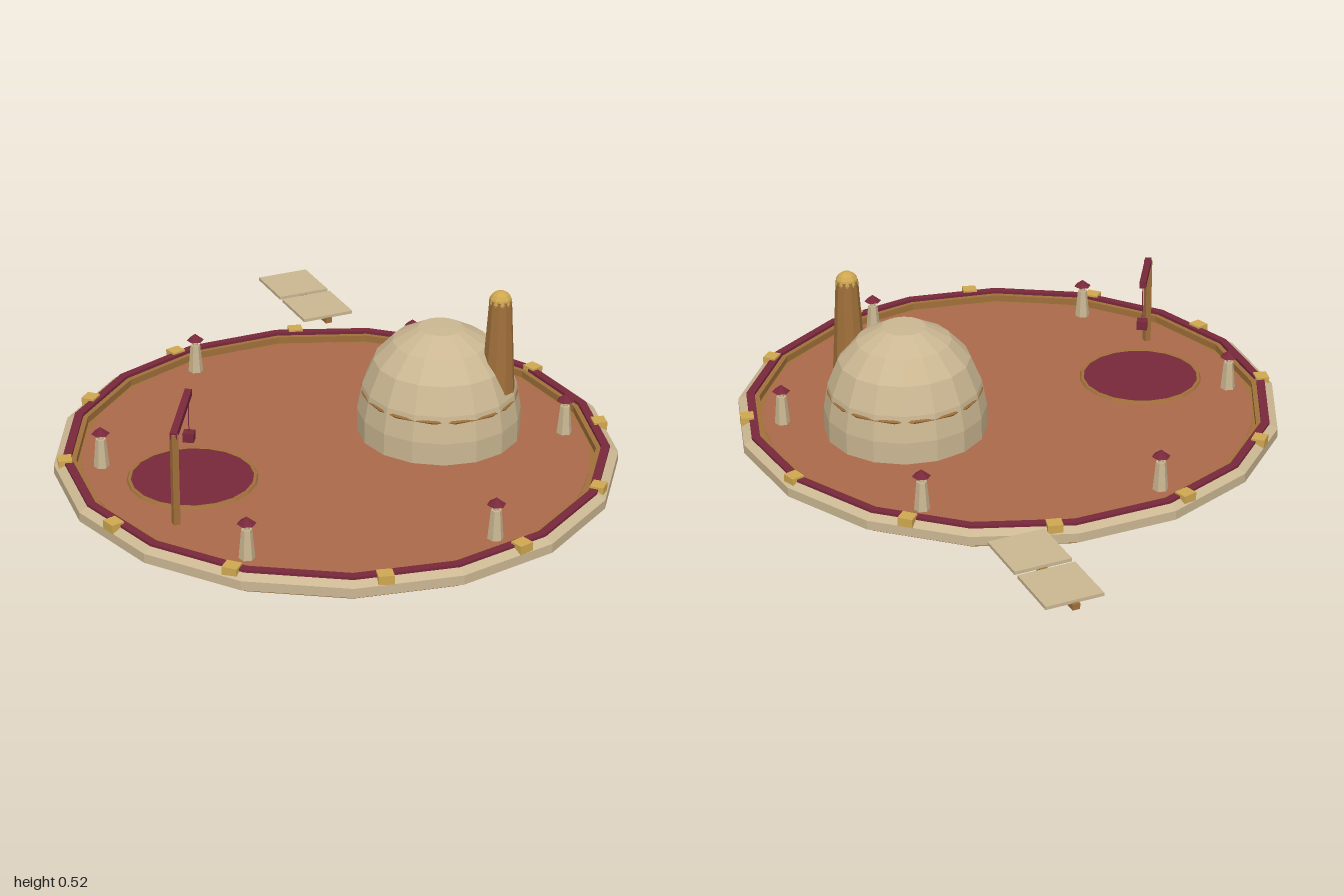
import * as THREE from 'three';

const flat = (name, color) => {
  const m = new THREE.MeshStandardMaterial({ color, flatShading: true });
  m.name = name;
  return m;
};

export function createModel() {
  const cream = flat('cream stone', 0xcbb792);
  const clay = flat('clay floor', 0xab694a);
  const maroon = flat('maroon', 0x78283b);
  const gold = flat('gold', 0xcfa750);
  const brown = flat('bronze brown', 0xa0703a);

  const root = new THREE.Group();
  root.name = 'landingPlatform';
  // everything on the deck is laid out around the deck centre
  const deck = new THREE.Group();
  deck.name = 'deck';
  deck.position.z = 0.175;
  root.add(deck);

  const add = (parent, name, geo, mat, x = 0, y = 0, z = 0) => {
    const m = new THREE.Mesh(geo, mat);
    m.name = name;
    m.position.set(x, y, z);
    parent.add(m);
    return m;
  };
  const lathe = (pts, sides) =>
    new THREE.LatheGeometry(pts.map(p => new THREE.Vector2(p[0], p[1])), sides);
  const cyl = (top, bottom, h, sides) => new THREE.CylinderGeometry(top, bottom, h, sides);
  const ring = (r, tube, sides) => new THREE.TorusGeometry(r, tube, 6, sides).rotateX(Math.PI / 2);
  // closed band with a rectangular section
  const band = (inner, outer, y0, y1, sides) =>
    lathe([[inner, y0], [outer, y0], [outer, y1], [inner, y1], [inner, y0]], sides);

  // Seventeen-sided base with a floor sunk below the rim
  const SIDES = 17;
  const FLOOR = 0.042;
  add(deck, 'underside', cyl(0.79, 0.787, 0.008, SIDES), brown, 0, 0.004);
  add(deck, 'rim', lathe([[0.788, 0.006], [0.822, 0.022], [0.822, 0.05], [0.792, 0.065]], SIDES), cream);
  add(deck, 'floorBorder', cyl(0.775, 0.775, 0.02, SIDES), brown, 0, FLOOR - 0.012);
  add(deck, 'floor', cyl(0.742, 0.742, 0.02, 32), clay, 0, FLOOR - 0.01);
  add(deck, 'innerWall', band(0.757, 0.774, 0.035, 0.061, SIDES), brown);
  add(deck, 'edgeRail', band(0.772, 0.797, 0.04, 0.07, SIDES), maroon);

  // Clamps around the rail
  for (let i = 0; i < 12; i++) {
    const a = (i + 0.5) * Math.PI / 6;
    const c = add(deck, 'railClamp', new THREE.BoxGeometry(0.044, 0.026, 0.04), gold,
      Math.sin(a) * 0.79, 0.063, Math.cos(a) * 0.79);
    c.rotation.y = a;
  }

  // Lamp posts
  for (let i = 0; i < 6; i++) {
    const a = Math.PI / 12 + i * Math.PI / 3;
    const lamp = new THREE.Group();
    lamp.name = 'lampPost';
    lamp.position.set(Math.sin(a) * 0.685, FLOOR, Math.cos(a) * 0.685);
    lamp.rotation.y = a;
    add(lamp, 'lampBody', cyl(0.015, 0.023, 0.088, 6), cream, 0, 0.044);
    add(lamp, 'lampNeck', cyl(0.009, 0.009, 0.022, 6), cream, 0, 0.097);
    add(lamp, 'lampCap', new THREE.ConeGeometry(0.027, 0.021, 6), maroon, 0, 0.115);
    deck.add(lamp);
  }

  // Dome with a thin band
  const dome = new THREE.Group();
  dome.name = 'domeHouse';
  dome.position.x = 0.335;
  deck.add(dome);
  add(dome, 'domeShell', lathe([[0.243, FLOOR - 0.005], [0.243, 0.11], [0.229, 0.19], [0.196, 0.27],
    [0.141, 0.33], [0.066, 0.372], [0, 0.373]], 16), cream);
  add(dome, 'domeBand', ring(0.2265, 0.006, 24), brown, 0, 0.172);

  // Tapered tower set into the dome's side
  add(dome, 'tower', cyl(0.033, 0.05, 0.285, 10), brown, 0.123, 0.3475, 0.132);
  add(dome, 'towerCap', new THREE.SphereGeometry(0.034, 10, 8), gold, 0.123, 0.483, 0.132);

  // Round pad
  add(deck, 'padBorder', ring(0.181, 0.008, 20), brown, -0.45, FLOOR);
  add(deck, 'pad', cyl(0.178, 0.178, 0.01, 20), maroon, -0.45, FLOOR);

  // Crane: post, sloping arm, cable and load
  const crane = new THREE.Group();
  crane.name = 'crane';
  root.add(crane);
  const foot = new THREE.Vector3(-0.59, 0.316, 0.405);
  const tip = new THREE.Vector3(-0.474, 0.335, 0.216);
  add(crane, 'cranePost', new THREE.BoxGeometry(0.019, 0.28, 0.019), brown, foot.x, 0.18, foot.z);
  const mid = foot.clone().lerp(tip, 0.5);
  const arm = add(crane, 'craneArm', new THREE.BoxGeometry(0.02, 0.02, foot.distanceTo(tip) + 0.015),
    maroon, mid.x, mid.y, mid.z);
  arm.lookAt(tip);
  add(crane, 'craneCable', cyl(0.0015, 0.0015, 0.13, 5), maroon, tip.x, 0.27, tip.z);
  const load = add(crane, 'craneLoad', new THREE.BoxGeometry(0.032, 0.027, 0.032), maroon, tip.x, 0.201, tip.z);
  load.rotation.y = Math.atan2(tip.x - foot.x, tip.z - foot.z);

  // Two panels on a boom behind the deck
  const panels = new THREE.Group();
  panels.name = 'panelArray';
  panels.position.x = 0.335;
  root.add(panels);
  add(panels, 'panelBoom', new THREE.BoxGeometry(0.022, 0.018, 0.385), brown, 0, 0.066, -0.806);
  for (const z of [-0.902, -0.707])
    add(panels, 'panel', new THREE.BoxGeometry(0.17, 0.01, 0.176), cream, 0, 0.078, z);

  return root;
}
